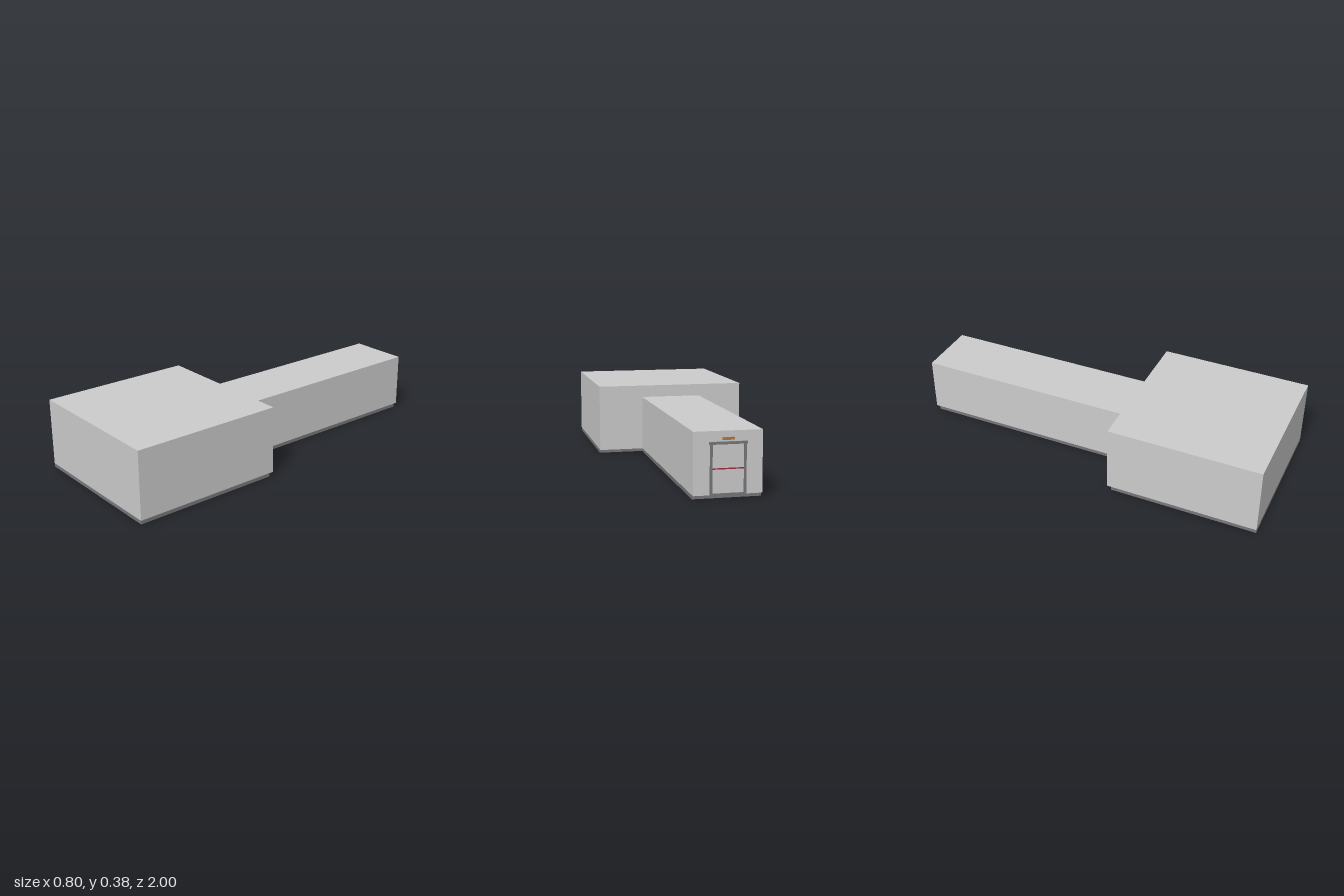
import * as THREE from 'three';

const material = (color) => new THREE.MeshStandardMaterial({ color, flatShading: true });

export function createModel() {
  const model = new THREE.Group();
  model.name = 'roomWithCorridor';
  const wall = material(0xcccccc);
  const dark = material(0x77777c);
  const red = material(0xa02840);
  const amber = material(0xb07840);

  // Box given by its minimum and maximum corners
  const block = (name, mat, [x0, y0, z0], [x1, y1, z1], parent = model) => {
    const mesh = new THREE.Mesh(new THREE.BoxGeometry(x1 - x0, y1 - y0, z1 - z0), mat);
    mesh.position.set((x0 + x1) / 2, (y0 + y1) / 2, (z0 + z1) / 2);
    mesh.name = name;
    parent.add(mesh);
    return mesh;
  };

  // Main room on its floor slab, which stops short of the rear wall
  block('roomWalls', wall, [-0.402, 0.019, 0.195], [0.402, 0.375, 1]);
  block('roomFloor', dark, [-0.402, 0, 0.217], [0.402, 0.019, 1]);

  // Corridor running backwards from the room
  block('corridorWalls', wall, [-0.162, 0.019, -0.992], [0.162, 0.311, 0.195]);
  block('corridorFloor', dark, [-0.162, 0, -0.972], [0.162, 0.019, 0.19]);

  // Door in the far end of the corridor
  const door = new THREE.Group();
  door.name = 'door';
  model.add(door);
  const back = -0.99;
  block('doorPanel', wall, [-0.078, 0.022, -0.9945], [0.078, 0.255, back], door);
  block('doorStripe', red, [-0.074, 0.136, -0.9955], [0.074, 0.142, back], door);
  for (const side of [-1, 1]) {
    const x = side * 0.079;
    block(side > 0 ? 'leftJamb' : 'rightJamb', dark, [x - 0.006, 0.02, -0.998], [x + 0.006, 0.25, back], door);
  }
  block('lintel', dark, [-0.09, 0.25, -0.999], [0.09, 0.262, back], door);
  block('threshold', dark, [-0.085, 0.019, -0.998], [0.085, 0.027, back], door);

  // Lamp above the door
  block('doorLamp', amber, [-0.028, 0.27, -1], [0.028, 0.282, back], door);

  return model;
}
